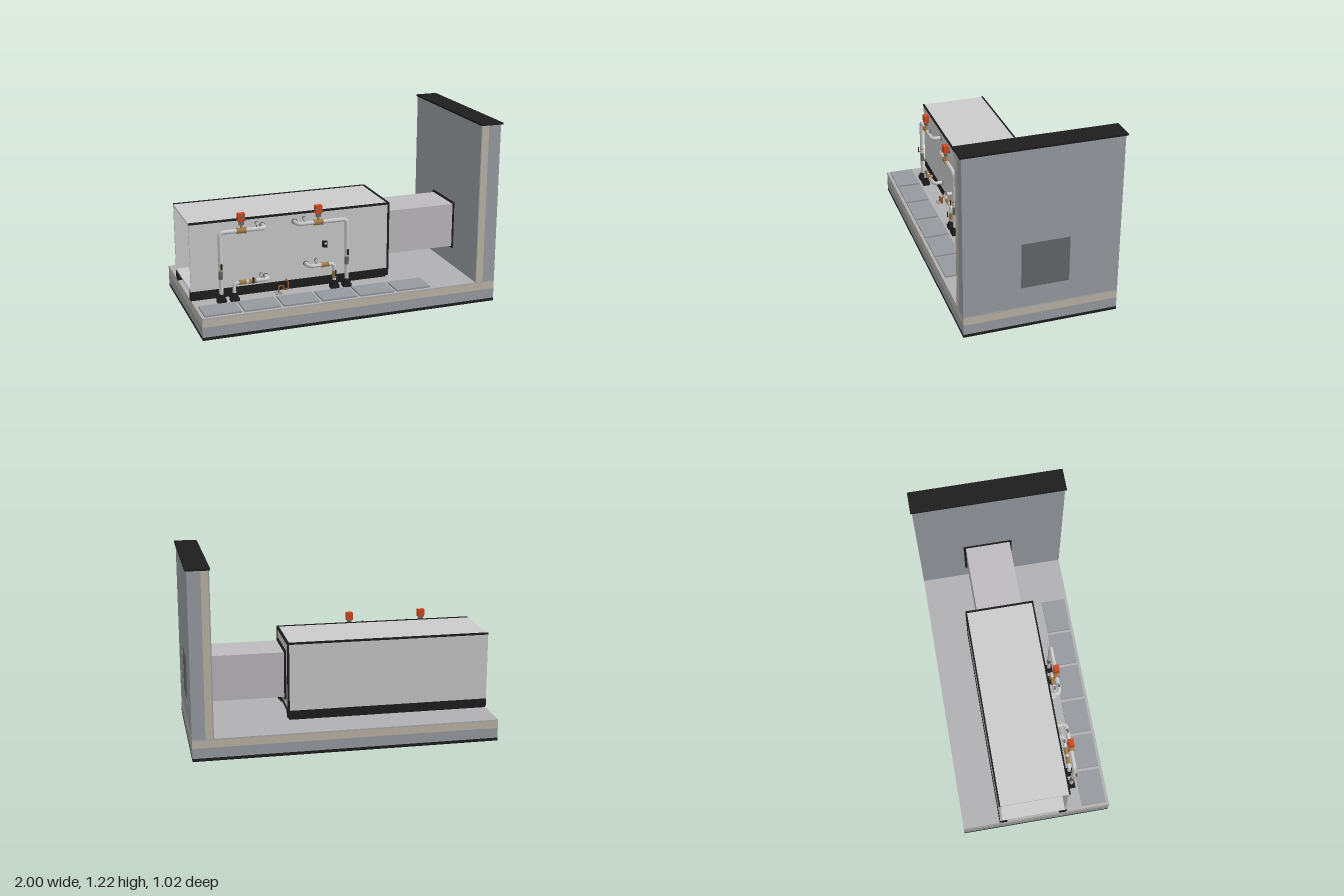
import * as THREE from 'three';

const V = (x, y, z) => new THREE.Vector3(x, y, z);
const mat = (color, side = THREE.FrontSide) => new THREE.MeshStandardMaterial({ color, side });
const M = {
  grey: mat(0xcccccc), concrete: mat(0x9a9ea3), floor: mat(0xb0b0b3), beige: mat(0xbfb6a8),
  black: mat(0x1d1d1f), dark: mat(0x66696c), paver: mat(0x96999d), orange: mat(0xd2481e),
  brass: mat(0xa07c48), copper: mat(0x9a5a2c), pipe: mat(0xcccccc), duct: mat(0xbdbbbd),
};

export function createModel() {
  const root = new THREE.Group();
  let parent = root;
  const group = (name) => { parent = new THREE.Group(); parent.name = name; root.add(parent); };
  const add = (name, geo, m) => {
    const mesh = new THREE.Mesh(geo, m);
    mesh.name = name;
    parent.add(mesh);
    return mesh;
  };
  // box given by its extents
  const box = (name, m, x0, x1, y0, y1, z0, z1) => {
    const b = add(name, new THREE.BoxGeometry(x1 - x0, y1 - y0, z1 - z0), m);
    b.position.set((x0 + x1) / 2, (y0 + y1) / 2, (z0 + z1) / 2);
    return b;
  };
  // cylinder between two points
  const rod = (name, m, a, b, r, r2 = r, n = 16) => {
    const d = b.clone().sub(a);
    const c = add(name, new THREE.CylinderGeometry(r2, r, d.length(), n), m);
    c.position.copy(a).add(b).multiplyScalar(0.5);
    c.quaternion.setFromUnitVectors(V(0, 1, 0), d.normalize());
    return c;
  };
  // pipe through points with rounded corners
  const pipe = (name, m, pts, r, bend) => {
    const path = new THREE.CurvePath();
    let last = pts[0];
    for (let i = 1; i < pts.length; i++) {
      const p = pts[i];
      if (i === pts.length - 1) { path.add(new THREE.LineCurve3(last, p)); break; }
      const a = p.clone().add(pts[i - 1].clone().sub(p).setLength(bend));
      const b = p.clone().add(pts[i + 1].clone().sub(p).setLength(bend));
      path.add(new THREE.LineCurve3(last, a));
      path.add(new THREE.QuadraticBezierCurve3(a, p, b));
      last = b;
    }
    return add(name, new THREE.TubeGeometry(path, 90, r, 12, false), m);
  };

  // layered roof slab
  group('roofSlab');
  box('membrane', M.black, -1, 0.99, 0, 0.02, -0.5, 0.5);
  box('concreteLayer', M.concrete, -1, 0.99, 0.02, 0.087, -0.5, 0.5);
  box('insulationLayer', M.beige, -1, 0.99, 0.087, 0.134, -0.5, 0.5);
  box('topFinish', M.floor, -1, 0.99, 0.134, 0.145, -0.5, 0.5);

  // layered wall with a duct opening
  group('wall');
  const wallLayer = (name, m, x0, x1) => {
    const s = new THREE.Shape([[-0.5, 0.145], [0.5, 0.145], [0.5, 1.21], [-0.5, 1.21]]
      .map(([z, y]) => new THREE.Vector2(-z, y)));
    s.holes.push(new THREE.Path([[-0.175, 0.28], [-0.175, 0.587], [0.135, 0.587], [0.135, 0.28]]
      .map(([z, y]) => new THREE.Vector2(-z, y))));
    const w = add(name, new THREE.ExtrudeGeometry(s, { depth: x1 - x0, bevelEnabled: false }), m);
    w.rotation.y = Math.PI / 2;
    w.position.x = x0;
  };
  wallLayer('innerFinish', M.concrete, 0.853, 0.859);
  wallLayer('wallInsulation', M.beige, 0.859, 0.906);
  wallLayer('wallConcrete', M.concrete, 0.906, 0.99);
  box('coping', M.black, 0.847, 1, 1.21, 1.222, -0.51, 0.51);

  // duct from unit to wall
  group('duct');
  box('ductBody', M.duct, 0.345, 0.86, 0.283, 0.585, -0.174, 0.133);
  box('ductOutlet', M.dark, 0.86, 0.989, 0.28, 0.587, -0.175, 0.135);
  const frame = (name, x0, x1, y0, y1, z0, z1, t) => {
    box(name, M.black, x0, x1, y0, y0 + t, z0, z1);
    box(name, M.black, x0, x1, y1 - t, y1, z0, z1);
    for (const z of [z0, z1 - t]) box(name, M.black, x0, x1, y0 + t, y1 - t, z, z + t);
  };
  frame('unitFlange', 0.347, 0.359, 0.27, 0.6, -0.19, 0.148, 0.016);
  frame('wallFlange', 0.847, 0.854, 0.27, 0.6, -0.19, 0.148, 0.016);

  // air handling unit casing, open at the intake end
  group('airUnit');
  const t = 0.012, X0 = -1, X1 = 0.343, Y0 = 0.205, Y1 = 0.663, Z0 = -0.25, Z1 = 0.203;
  box('unitFloor', M.grey, X0, X1, Y0, Y0 + t, Z0, Z1);
  box('unitRoof', M.grey, X0, X1, Y1 - t, Y1, Z0, Z1);
  box('backPanel', M.grey, X0, X1, Y0 + t, Y1 - t, Z0, Z0 + t);
  box('frontPanel', M.grey, X0, X1, Y0 + t, Y1 - t, Z1 - t, Z1);
  box('endPanel', M.grey, X1 - t, X1, Y0 + t, Y1 - t, Z0 + t, Z1 - t);
  for (const z of [Z0, Z1]) {
    box('topEdgeTrim', M.black, X0, 0.348, Y1 - 0.008, Y1 + 0.005, z - 0.005, z + 0.005);
    box('skidRail', M.black, X0, 0.348, 0.16, 0.21, z - (z > 0 ? 0.05 : 0.004), z + (z > 0 ? 0.004 : 0.05));
    box('skidFoot', M.black, X0, 0.335, 0.145, 0.16, z - (z > 0 ? 0.05 : -0.01), z + (z > 0 ? -0.01 : 0.05));
  }
  frame('endFrame', 0.336, 0.349, 0.2, 0.668, Z0 - 0.005, Z1 + 0.005, 0.014);

  // filter bank inside the intake
  group('filterBank');
  box('filterBody', M.dark, -0.78, -0.7, Y0 + t, Y1 - t, Z0 + t, Z1 - t);
  for (let i = 0; i < 14; i++) {
    const z = Z0 + 0.02 + i * 0.03;
    box('filterPleat', M.grey, -0.795, -0.78, Y0 + 0.02, Y1 - 0.02, z, z + 0.022);
  }

  // walkway pavers
  group('pavers');
  for (let i = 0; i < 6; i++) {
    const x = -0.98 + i * 0.2555;
    box('paver', M.paver, x, x + 0.235, 0.145, 0.156, 0.315, 0.48);
  }

  // water pipes with valves, gauges and feet
  const Z = 0.27;
  const valve = (x, y, dir, r = 0.016) => {
    const d = dir === 'x' ? V(1, 0, 0) : V(0, 1, 0), c = V(x, y, Z);
    const at = (k) => c.clone().addScaledVector(d, k * r);
    rod('valveBody', M.brass, at(-1.2), at(1.2), r);
    for (const s of [-1, 1]) rod('valveNut', M.brass, at(s * 1.2), at(s * 1.7), r * 1.15, r * 1.15, 6);
  };
  const handle = (x, y) => {
    rod('valveStem', M.brass, V(x, y, Z), V(x, y, Z + 0.026), 0.004);
    box('valveLever', M.black, x - 0.005, x + 0.005, y - 0.006, y + 0.034, Z + 0.024, Z + 0.028);
  };
  const gauge = (x, y) => {
    rod('gaugeStem', M.brass, V(x, y, Z), V(x, y + 0.03, Z), 0.003, 0.003, 8);
    rod('gaugeCase', M.dark, V(x, y + 0.037, Z - 0.006), V(x, y + 0.037, Z + 0.005), 0.012);
    rod('gaugeDial', M.grey, V(x, y + 0.037, Z + 0.005), V(x, y + 0.037, Z + 0.007), 0.01);
  };
  const foot = (x) => {
    box('footBase', M.black, x - 0.028, x + 0.028, 0.145, 0.168, Z - 0.025, Z + 0.025);
    box('footCurb', M.black, x - 0.021, x + 0.021, 0.168, 0.185, Z - 0.019, Z + 0.019);
    rod('footCollar', M.black, V(x, 0.185, Z), V(x, 0.2, Z), 0.019, 0.015);
  };
  const line = (name, xr, y, xe, r) => {
    group(name);
    pipe('pipe', M.pipe, [V(xr, 0.16, Z), V(xr, y, Z), V(xe, y, Z), V(xe, y, 0.19)], r, 0.03);
    foot(xr);
    rod('wallCollar', M.dark, V(xe, y, 0.203), V(xe, y, 0.209), r * 1.4);
  };
  const highLine = (name, xr, xe, xv, xg) => {
    const y = 0.608;
    line(name, xr, y, xe, 0.0135);
    valve(xv, y, 'x', 0.018);
    rod('actuatorStem', M.brass, V(xv, y, Z), V(xv, 0.655, Z), 0.008);
    box('actuatorBracket', M.dark, xv - 0.015, xv + 0.015, 0.645, 0.672, Z - 0.01, Z + 0.01);
    box('actuator', M.orange, xv - 0.023, xv + 0.023, 0.67, 0.722, Z - 0.017, Z + 0.017);
    box('actuatorWindow', M.dark, xv - 0.01, xv + 0.01, 0.69, 0.705, Z + 0.015, Z + 0.018);
    gauge(xg, y);
    valve(xr, 0.375, 'y', 0.013);
    handle(xr, 0.375);
    rod('flexSleeve', M.dark, V(xr, 0.3, Z), V(xr, 0.352, Z), 0.0145);
  };
  highLine('supplyLineRight', -0.82, -0.525, -0.68, -0.58);
  highLine('supplyLineLeft', 0.025, -0.31, -0.17, -0.265);

  line('returnLineRight', -0.735, 0.262, -0.508, 0.0125);
  valve(-0.68, 0.262, 'x', 0.014);
  valve(-0.615, 0.262, 'x', 0.014);
  handle(-0.615, 0.262);
  gauge(-0.555, 0.262);

  line('returnLineLeft', -0.06, 0.313, -0.235, 0.0125);
  valve(-0.125, 0.313, 'x', 0.015);
  valve(-0.06, 0.24, 'y', 0.014);
  handle(-0.06, 0.24);
  gauge(-0.185, 0.313);

  // condensate trap and drain
  group('condensateTrap');
  pipe('trapPipe', M.copper, [V(-0.37, 0.22, 0.19), V(-0.37, 0.22, 0.247), V(-0.37, 0.168, 0.247),
    V(-0.4, 0.168, 0.247), V(-0.4, 0.195, 0.247), V(-0.435, 0.195, 0.247), V(-0.435, 0.148, 0.247)], 0.005, 0.011);
  box('drainPlate', M.paver, -0.457, -0.413, 0.145, 0.152, 0.228, 0.27);

  // small control box on the front panel
  group('controlBox');
  box('controlCase', M.black, -0.12, -0.091, 0.414, 0.454, 0.203, 0.228);
  box('controlScreen', M.grey, -0.114, -0.098, 0.436, 0.447, 0.227, 0.23);

  return root;
}
